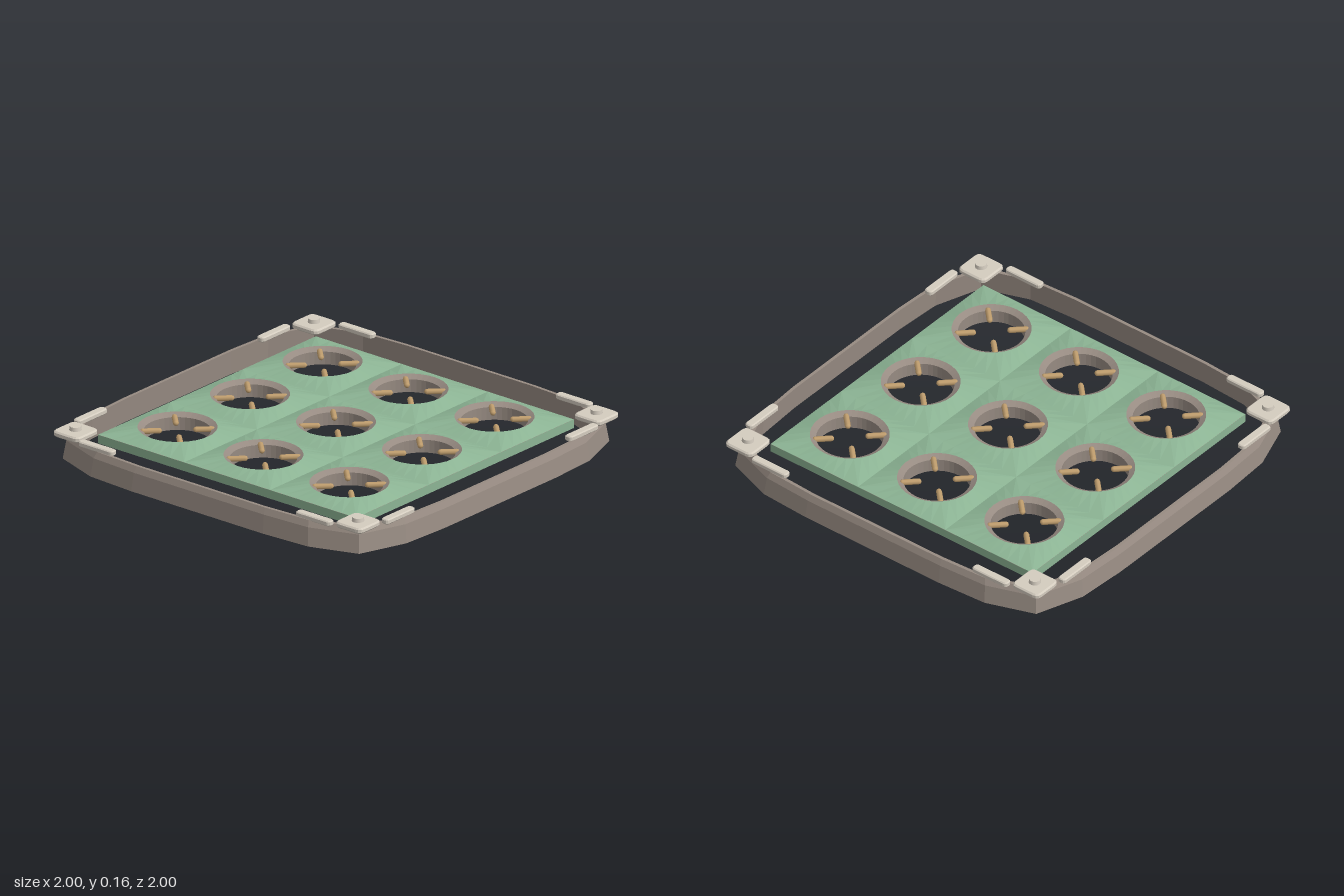
import * as THREE from 'three';

const mat = (name, color) => Object.assign(new THREE.MeshStandardMaterial({ color }), { name });

// Sweeps rows of points into faceted quads; rows close around, each row is a list of [x, y, z].
function facetedLoft(rows) {
  const pos = [];
  rows.forEach((row, i) => {
    const next = rows[(i + 1) % rows.length];
    for (let j = 0; j < row.length - 1; j++) {
      pos.push(...row[j], ...row[j + 1], ...next[j], ...next[j], ...row[j + 1], ...next[j + 1]);
    }
  });
  const g = new THREE.BufferGeometry();
  g.setAttribute('position', new THREE.Float32BufferAttribute(pos, 3));
  g.computeVertexNormals();
  return g;
}

function faceted(g) {
  const f = g.toNonIndexed();
  f.computeVertexNormals();
  return f;
}

// Flat bevelled slab with rounded corners, resting on y = 0.
function slab(w, d, h, r, bevel) {
  const x = w / 2 - bevel, y = d / 2 - bevel;
  const s = new THREE.Shape();
  s.moveTo(-x + r, -y);
  s.lineTo(x - r, -y); s.quadraticCurveTo(x, -y, x, -y + r);
  s.lineTo(x, y - r); s.quadraticCurveTo(x, y, x - r, y);
  s.lineTo(-x + r, y); s.quadraticCurveTo(-x, y, -x, y - r);
  s.lineTo(-x, -y + r); s.quadraticCurveTo(-x, -y, -x + r, -y);
  const g = new THREE.ExtrudeGeometry(s, {
    depth: h - 2 * bevel, bevelThickness: bevel, bevelSize: bevel, bevelSegments: 1, curveSegments: 3,
  });
  return g.rotateX(-Math.PI / 2).translate(0, bevel, 0);
}

export function createModel() {
  const taupe = mat('taupe metal', 0x978b82);
  const green = mat('sage green', 0x8cb494);
  const stone = mat('pale stone', 0xd4ccbf);
  const tan = mat('tan', 0xc09e6e);

  const model = new THREE.Group();
  model.name = 'trayFrame';
  const add = (name, geo, material, x = 0, y = 0, z = 0, parent = model) => {
    const m = new THREE.Mesh(geo, material);
    m.name = name;
    m.position.set(x, y, z);
    parent.add(m);
    return m;
  };

  // Outer rail: bowed outline swept with a thin, inward-leaning section
  const quarter = [[1, 0.4], [0.985, 0.66], [0.9, 0.9], [0.66, 0.985], [0.4, 1]];
  const outline = [];
  for (let k = 0; k < 4; k++) {
    const c = Math.round(Math.cos(k * Math.PI / 2)), s = Math.round(Math.sin(k * Math.PI / 2));
    quarter.forEach(([x, z]) => outline.push([x * c - z * s, x * s + z * c]));
  }
  const section = [[1, 0], [0.987, 0.09], [0.973, 0.12], [0.957, 0.12], [0.965, 0], [1, 0]];
  add('outerRail', facetedLoft(outline.map(([x, z]) => section.map(([k, y]) => [x * k, y, z * k]))), taupe);

  // Base plate with nine round holes
  const pitch = 0.522, half = pitch / 2, edge = 1.5 * pitch;
  const centres = [];
  for (let i = -1; i <= 1; i++) for (let j = -1; j <= 1; j++) centres.push([i * pitch, j * pitch]);
  const plate = new THREE.Shape([[-edge, -edge], [edge, -edge], [edge, edge], [-edge, edge]]
    .map(([x, y]) => new THREE.Vector2(x, y)));
  centres.forEach(([x, z]) => {
    plate.holes.push(new THREE.Path().absarc(x, z, 0.165, 0, Math.PI * 2, true));
  });
  const plateGeo = new THREE.ExtrudeGeometry(plate, { depth: 0.043, bevelEnabled: false, curveSegments: 20 });
  add('basePlate', plateGeo.rotateX(-Math.PI / 2), [taupe, green], 0, 0.07, 0);

  // Sloped tile surface from a round opening down to a square border
  const rows = [];
  const N = 32;
  for (let i = 0; i < N; i++) {
    const a = -i / N * Math.PI * 2, c = Math.cos(a), s = Math.sin(a);
    const k = half / Math.max(Math.abs(c), Math.abs(s));
    rows.push([[c * 0.186, 0.141, s * 0.186], [c * k, 0.114, s * k]]);
  }
  const tileGeo = facetedLoft(rows);

  // Socket ring, dished towards the opening, and its four inward prongs
  const ringGeo = faceted(new THREE.LatheGeometry([
    [0.157, 0.06], [0.168, 0.06], [0.168, 0.1], [0.187, 0.125], [0.187, 0.14], [0.157, 0.124], [0.157, 0.06],
  ].map(([r, y]) => new THREE.Vector2(r, y)), 40));
  const prongGeo = new THREE.CapsuleGeometry(0.014, 0.075, 3, 8).rotateZ(Math.PI / 2).translate(0.124, 0, 0);

  centres.forEach(([x, z]) => {
    const cell = new THREE.Group();
    cell.name = 'cell';
    cell.position.set(x, 0, z);
    model.add(cell);
    add('tileTop', tileGeo, green, 0, 0, 0, cell);
    add('socketRing', ringGeo, taupe, 0, 0, 0, cell);
    for (let k = 0; k < 4; k++) {
      add('prong', prongGeo, tan, 0, 0.124, 0, cell).rotation.y = Math.PI / 4 + k * Math.PI / 2;
    }
  });

  // Corner pads with a knob, and a clip on each side of every corner
  const padGeo = slab(0.16, 0.16, 0.028, 0.025, 0.007);
  const knobGeo = new THREE.CylinderGeometry(0.027, 0.03, 0.024, 16);
  const clipX = slab(0.208, 0.043, 0.026, 0.014, 0.005);
  const clipZ = slab(0.043, 0.208, 0.026, 0.014, 0.005);
  for (const sx of [-1, 1]) for (const sz of [-1, 1]) {
    add('cornerPad', padGeo, stone, sx * 0.858, 0.115, sz * 0.858);
    add('cornerKnob', knobGeo, stone, sx * 0.858, 0.15, sz * 0.858);
    add('railClip', clipX, stone, sx * 0.66, 0.115, sz * 0.935);
    add('railClip', clipZ, stone, sx * 0.935, 0.115, sz * 0.66);
  }
  return model;
}
